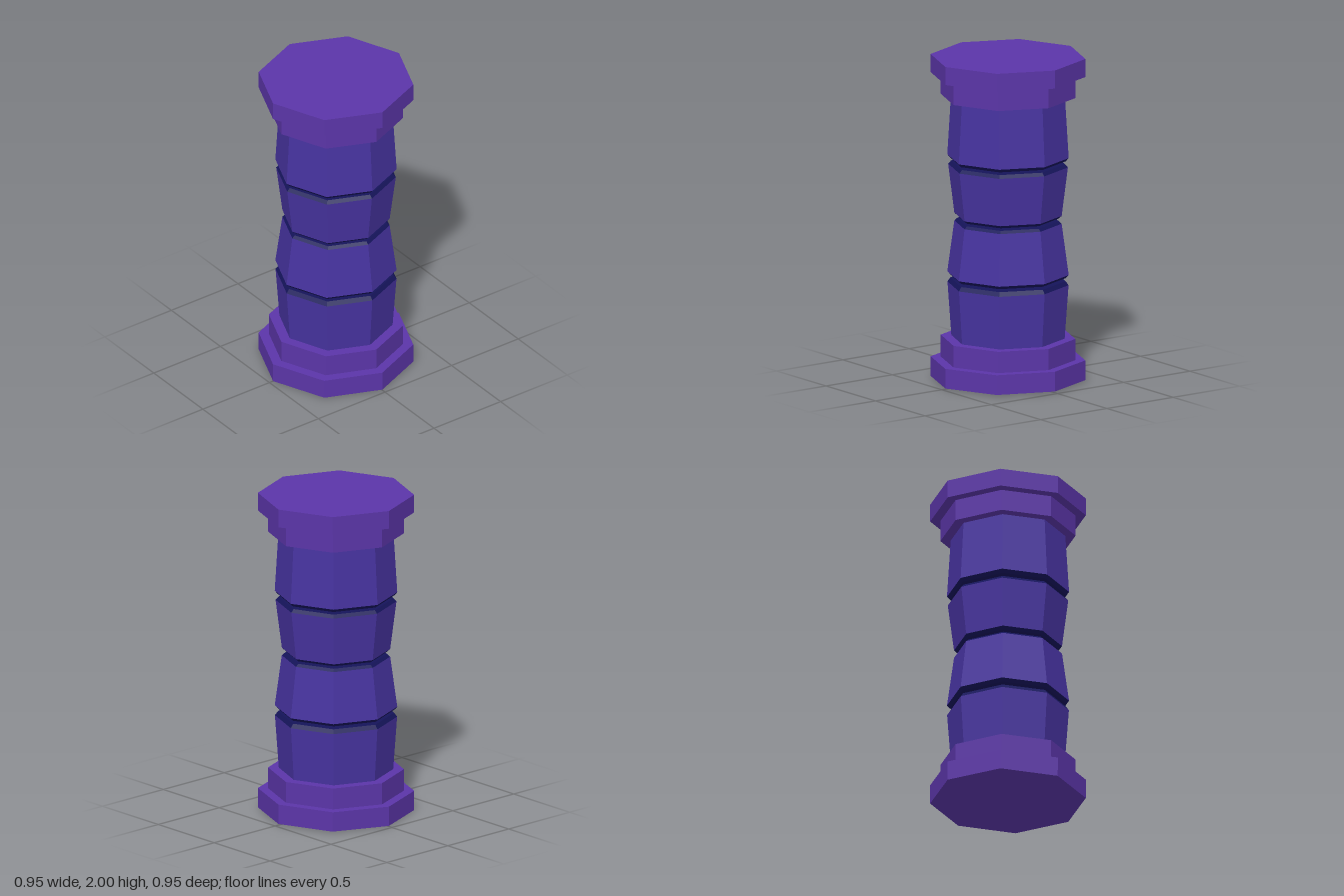
import * as THREE from 'three';

const SIDES = 8;
const material = (color) => new THREE.MeshStandardMaterial({ color, flatShading: true });

export function createModel() {
  const column = new THREE.Group();
  column.name = 'column';
  const slabMaterial = material(0x5b35a8);
  const drumMaterial = material(0x4733a0);
  const bevelMaterial = material(0x15145a);

  // Octagonal frustum between two heights, with a corner on each axis
  function ring(name, y0, r0, y1, r1, mat, open = false) {
    const geometry = new THREE.CylinderGeometry(r1, r0, y1 - y0, SIDES, 1, open);
    const mesh = new THREE.Mesh(geometry, mat);
    mesh.name = name;
    mesh.position.y = (y0 + y1) / 2;
    column.add(mesh);
    return mesh;
  }

  // Stepped base, its lowest slab leaning very slightly
  const plinth = ring('basePlinth', 0.004, 0.473, 0.126, 0.473, slabMaterial);
  plinth.rotation.z = 0.008;
  ring('baseStep', 0.12, 0.411, 0.26, 0.411, slabMaterial);

  // Stepped capital
  ring('capitalStep', 1.755, 0.411, 1.888, 0.411, slabMaterial);
  ring('capitalSlab', 1.888, 0.473, 2, 0.473, slabMaterial);

  // Separate shaft drums: bottom [y, r], top [y, r], and which ends are bevelled
  const drums = [
    { bottom: [0.255, 0.346], top: [0.592, 0.37], bevelTop: 0.617 },
    { bottom: [0.655, 0.371], top: [0.972, 0.328], bevelBottom: 0.636, bevelTop: 0.988 },
    { bottom: [1.021, 0.328], top: [1.323, 0.366], bevelBottom: 1.004, bevelTop: 1.343 },
    { bottom: [1.381, 0.371], top: [1.76, 0.348], bevelBottom: 1.361 },
  ];
  drums.forEach(({ bottom, top, bevelBottom, bevelTop }, i) => {
    const name = `shaftDrum${i + 1}`;
    ring(name, ...bottom, ...top, drumMaterial, true);
    if (bevelBottom) ring(`${name}LowerBevel`, bevelBottom, bottom[1] - 0.018, ...bottom, bevelMaterial);
    if (bevelTop) ring(`${name}UpperBevel`, ...top, bevelTop, top[1] - 0.018, bevelMaterial);
  });

  return column;
}
